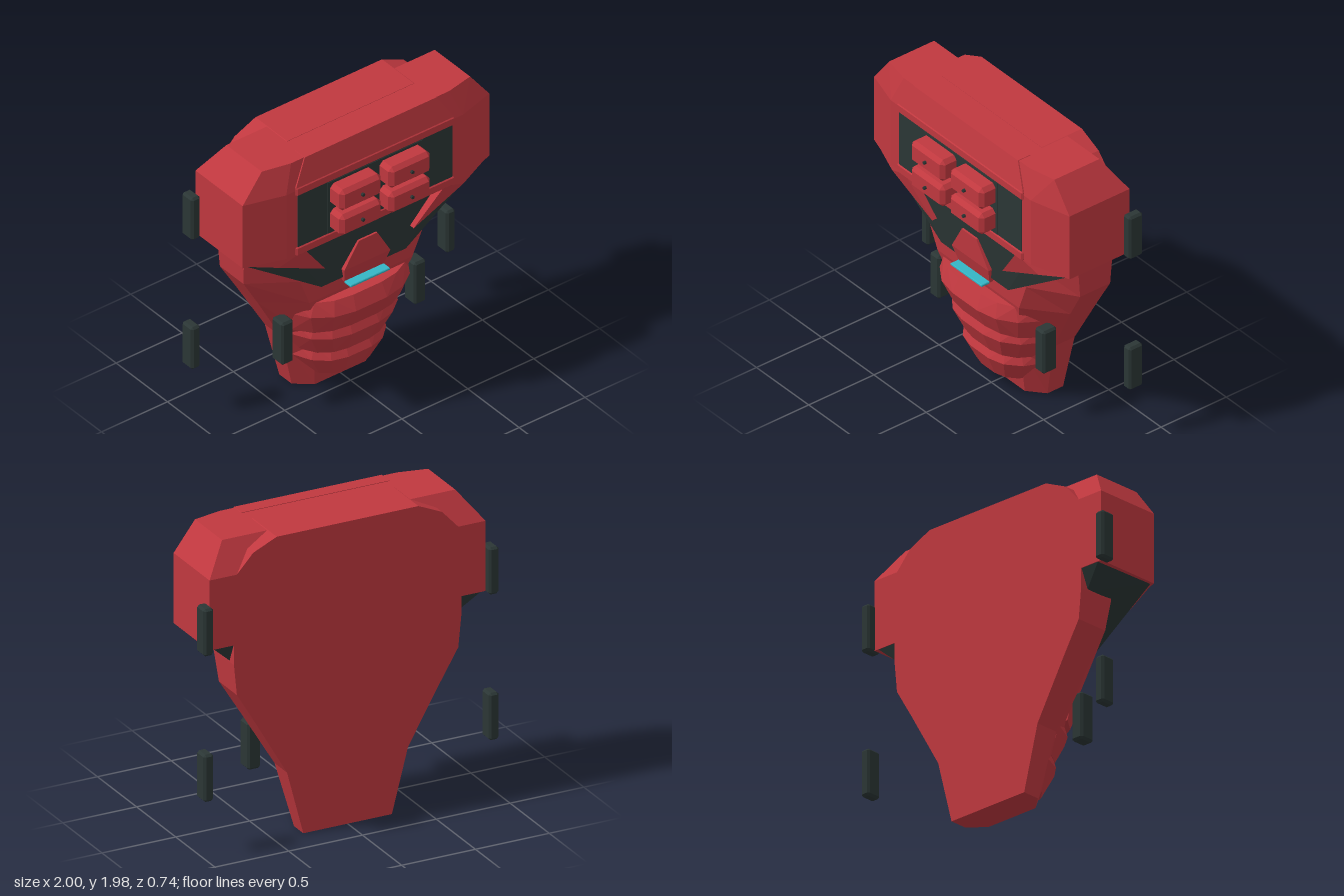
import * as THREE from 'three';
import { ConvexGeometry } from 'three/addons/geometries/ConvexGeometry.js';

const red = new THREE.MeshStandardMaterial({ color: 0xc0383f });
red.name = 'armour red';
const dark = new THREE.MeshStandardMaterial({ color: 0x2b3635 });
dark.name = 'charcoal';
const cyan = new THREE.MeshStandardMaterial({ color: 0x35b5c5 });
cyan.name = 'light cyan';

export function createModel() {
  const model = new THREE.Group();

  function add(name, geometry, material) {
    const mesh = new THREE.Mesh(geometry, material);
    mesh.name = name;
    model.add(mesh);
    return mesh;
  }

  // Faceted solid around a few corner points
  const hull = (pts) => new ConvexGeometry(pts.map((p) => new THREE.Vector3(...p)));
  const mirrored = (pts) => pts.concat(pts.map(([x, y, z]) => [-x, y, z]));

  // Box between two corners with all edges chamfered by c
  function chamferBox(x0, x1, y0, y1, z0, z1, c) {
    const pts = [];
    for (const [x, i] of [[x0, c], [x1, -c]])
      for (const [y, j] of [[y0, c], [y1, -c]])
        for (const [z, k] of [[z0, c], [z1, -c]])
          pts.push([x, y + j, z + k], [x + i, y, z + k], [x + i, y + j, z]);
    return hull(pts);
  }

  // Loft of horizontal rings: each ring is a list of [x, y, z], capped at both ends
  function loft(rings) {
    const n = rings[0].length;
    const pos = [];
    const tri = (a, b, c) => pos.push(...a, ...b, ...c);
    for (let r = 0; r < rings.length - 1; r++)
      for (let i = 0; i < n; i++) {
        const j = (i + 1) % n;
        const [a, b, c, d] = [rings[r][i], rings[r][j], rings[r + 1][j], rings[r + 1][i]];
        tri(a, c, b);
        tri(a, d, c);
      }
    const top = rings[rings.length - 1];
    for (let i = 1; i < n - 1; i++) {
      tri(rings[0][0], rings[0][i], rings[0][i + 1]);
      tri(top[0], top[i + 1], top[i]);
    }
    const g = new THREE.BufferGeometry();
    g.setAttribute('position', new THREE.Float32BufferAttribute(pos, 3));
    g.computeVertexNormals();
    return g;
  }

  // Tapering torso: height, half width, front half width, side z, front z
  const torsoRows = [
    [0, 0.3, 0.195, -0.19, -0.1],
    [0.42, 0.41, 0.27, -0.15, 0.0],
    [0.8, 0.63, 0.39, -0.1, 0.1],
    [1.0, 0.75, 0.47, -0.08, 0.11],
    [1.2, 0.77, 0.5, -0.05, 0.11],
    [1.36, 0.77, 0.5, -0.03, 0.11],
  ];
  add('torso', loft(torsoRows.map(([y, w, f, zs, zf]) => [
    [-w, y, -0.31], [w, y, -0.31], [w, y, zs], [f, y, zf], [-f, y, zf], [-w, y, zs],
  ])), red);

  // Shoulders and chest with chamfered corners
  add('shoulderBlock', hull(mirrored([
    [0.935, 1.33, -0.31], [0.935, 1.79, -0.31], [0.79, 1.98, -0.195],
    [0.79, 1.98, 0.15], [0.935, 1.79, 0.15], [0.935, 1.33, 0.15],
    [0.67, 1.8, 0.235], [0.67, 1.33, 0.235], [0.6, 1.98, 0.19],
  ])), red);

  // Raised block filling the middle of the upper back
  const backOutline = [[0.48, 1.982], [0.64, 1.91], [0.75, 1.79], [0.75, 1.34]];
  add('upperBack', hull(mirrored(backOutline.flatMap(([x, y]) => [[x, y, -0.31], [x, y, 0]]))), red);

  // Sloped collar plate over the chest panel
  add('collarPlate', hull(mirrored([
    [0.5, 1.983, 0.197], [0.6, 1.82, 0.24], [0.5, 1.983, 0.1], [0.6, 1.82, 0.1],
  ])), red);

  // Dark wedge under the chest and shoulders
  add('underChest', hull(mirrored([
    [0.92, 1.335, 0.14], [0.91, 1.335, -0.308], [0.6, 1.335, 0.18],
    [0.32, 0.905, 0.127], [0.32, 0.905, 0.1],
    [0.76, 1.2, -0.15], [0.76, 1.2, -0.25],
  ])), dark);

  // Pointed lower ends of the chest armour
  for (const s of [1, -1]) {
    const prong = [[0.53, 1.335, 0.237], [0.92, 1.335, 0.152], [0.7, 1.257, 0.2], [0.335, 1.08, 0.185]];
    add(s > 0 ? 'leftChestProng' : 'rightChestProng', hull(
      prong.flatMap(([x, y, z]) => [[s * x, y, z], [s * x, y, z - 0.06]])), red);
  }

  // Centre crest plate
  const crest = [[0.07, 1.16, 0.172], [0.175, 0.98, 0.163], [0.145, 0.865, 0.13]];
  add('crestPlate', hull(mirrored(crest.flatMap(([x, y, z]) => [[x, y, z], [x, y, z - 0.06]]))), red);

  // Glowing strip
  add('lightStrip', chamferBox(-0.15, 0.15, 0.86, 0.877, 0.13, 0.195, 0.004), cyan);

  // Chest panel with its inner plate and rails
  add('chestPanel', new THREE.BoxGeometry(1.17, 0.4, 0.008).translate(0, 1.57, 0.235), dark);
  add('innerPanel', new THREE.BoxGeometry(0.72, 0.375, 0.008).translate(0, 1.57, 0.239), dark);
  add('lowerRail', chamferBox(-0.6, 0.6, 1.32, 1.382, 0.17, 0.246, 0.008), red);
  add('upperRail', chamferBox(-0.6, 0.6, 1.76, 1.822, 0.17, 0.246, 0.008), red);

  // Four chest pods, each with a small pin
  for (const s of [1, -1])
    for (const y of [1.663, 1.478]) {
      const x = s * 0.187;
      add('chestPod', chamferBox(x - 0.157, x + 0.157, y - 0.077, y + 0.077, 0.2, 0.354, 0.026), red);
      add('podPin', new THREE.CylinderGeometry(0.011, 0.011, 0.03, 8)
        .rotateX(Math.PI / 2).translate(x, y, 0.355), dark);
    }

  // Three curved abdomen plates: [height, half width, front z] for bottom, ridge, top
  const ribs = [
    [[0.53, 0.41, 0.135], [0.68, 0.47, 0.205], [0.775, 0.43, 0.165]],
    [[0.32, 0.32, 0.08], [0.47, 0.412, 0.147], [0.56, 0.375, 0.11]],
    [[0.115, 0.25, 0.025], [0.265, 0.355, 0.093], [0.36, 0.32, 0.05]],
  ];
  const arc = [[0.25, 0], [0.55, 0.03], [0.8, 0.11], [1, 0.27]];
  const depth = [0.68, 1, 0.68];
  ribs.forEach((levels, i) => add('abdomenPlate' + (i + 1), hull(mirrored(
    levels.flatMap(([y, w, z], k) => arc.map(([fx, dz]) => [fx * w, y, z - dz * depth[k]])))), red));

  // Upright pads, mirrored: x range, y range, z range
  const pads = [
    ['upperPad', 0.933, 1, 1.32, 1.63, -0.365, -0.26],
    ['lowerRearPad', 0.933, 1, 0.365, 0.675, -0.365, -0.26],
    ['lowerFrontPad', 0.458, 0.547, 0.365, 0.675, -0.07, 0.038],
  ];
  for (const [name, x0, x1, ...yz] of pads) {
    add(name + 'Left', chamferBox(x0, x1, ...yz, 0.014), dark);
    add(name + 'Right', chamferBox(-x1, -x0, ...yz, 0.014), dark);
  }

  return model;
}
